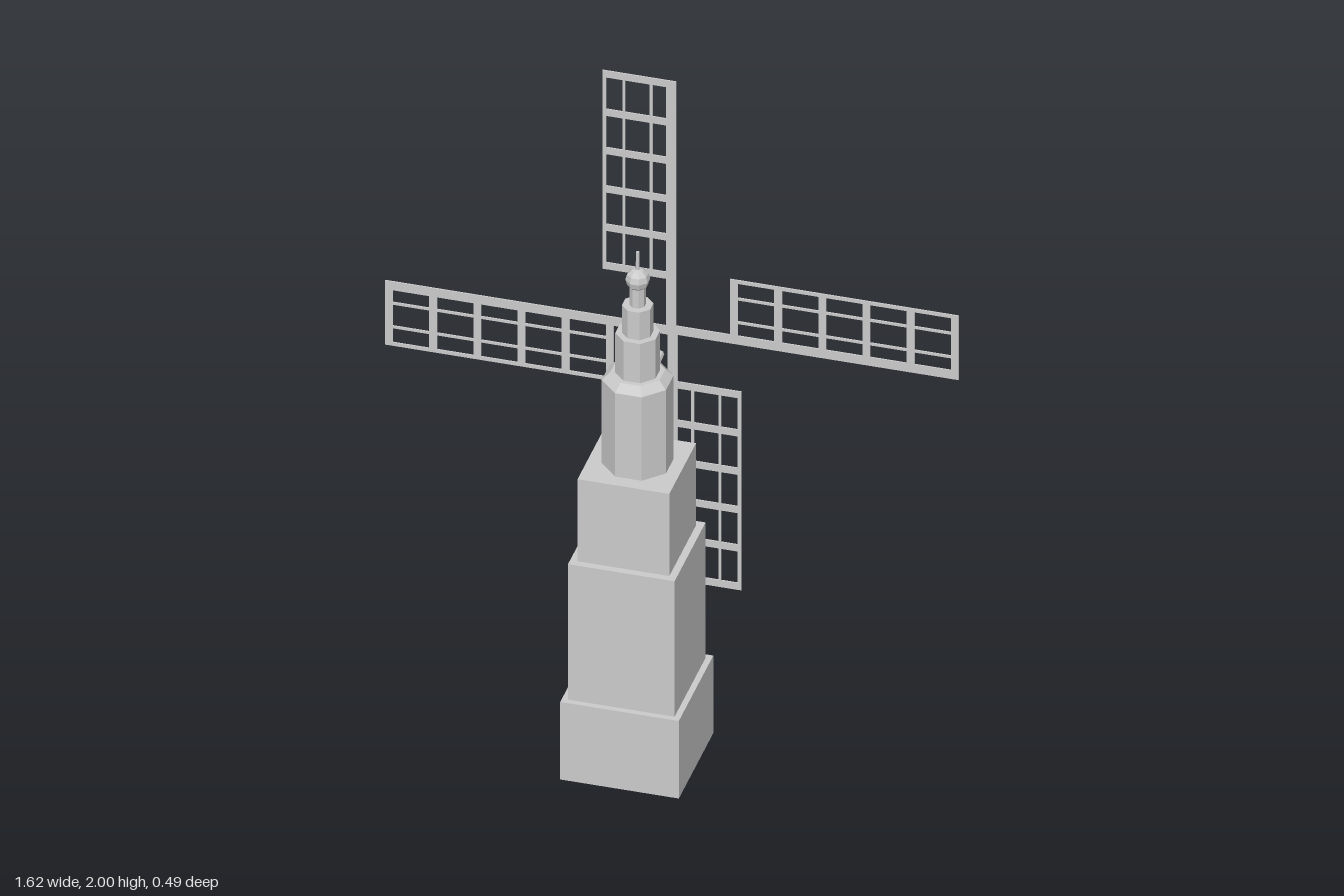
import * as THREE from 'three';

export function createModel() {
  const model = new THREE.Group();
  const mat = new THREE.MeshStandardMaterial({ color: 0xcccccc, flatShading: true });
  const CX = -0.006, CZ = 0.077;

  const add = (name, geometry, x, y, z, parent = model) => {
    const mesh = new THREE.Mesh(geometry, mat);
    mesh.name = name;
    mesh.position.set(x, y, z);
    parent.add(mesh);
    return mesh;
  };

  // Square stepped tower: half width, bottom, top
  const blocks = [
    ['towerBase', 0.168, 0, 0.253],
    ['towerMiddle', 0.151, 0.253, 0.695],
    ['towerUpper', 0.13, 0.695, 0.963],
  ];
  for (const [name, h, y0, y1] of blocks)
    add(name, new THREE.BoxGeometry(h * 2, y1 - y0, h * 2), CX, (y0 + y1) / 2, CZ);

  // Octagonal tiers with flats facing the axes: bottom and top apothem, bottom, top
  const toCorner = 1 / Math.cos(Math.PI / 8);
  const tiers = [
    ['octagonDrum', 0.091, 0.091, 0.963, 1.235],
    ['drumBevel', 0.091, 0.07, 1.235, 1.257],
    ['lanternLower', 0.057, 0.057, 1.257, 1.385],
    ['lanternMiddle', 0.04, 0.04, 1.385, 1.475],
    ['lanternUpper', 0.021, 0.021, 1.475, 1.535],
  ];
  for (const [name, a0, a1, y0, y1] of tiers) {
    const g = new THREE.CylinderGeometry(a1 * toCorner, a0 * toCorner, y1 - y0, 8);
    g.rotateY(Math.PI / 8);
    add(name, g, CX + 0.002, (y0 + y1) / 2, CZ - 0.002);
  }

  // Finial
  const ball = new THREE.SphereGeometry(0.034, 8, 6);
  ball.rotateY(Math.PI / 8);
  add('finialBall', ball, CX + 0.002, 1.557, CZ - 0.002);
  add('finialSpire', new THREE.CylinderGeometry(0.005, 0.006, 0.065, 8), CX + 0.002, 1.613, CZ - 0.002);

  // Tapered axle pointing out of the back
  const axle = new THREE.CylinderGeometry(0.011, 0.018, 0.15, 8);
  axle.rotateX(-Math.PI / 2);
  add('axle', axle, -0.003, 1.175, -0.068);

  // Four thin lattice sails around the hub
  const rect = (T, x0, y0, x1, y1) => {
    const s = new T();
    s.moveTo(x0, y0);
    s.lineTo(x1, y0);
    s.lineTo(x1, y1);
    s.lineTo(x0, y1);
    s.closePath();
    return s;
  };
  const R0 = 0.165, R1 = 0.8125;
  const lattice = rect(THREE.Shape, -0.197, R0, -0.015, R1);
  const columns = [[-0.186, -0.14], [-0.132, -0.063], [-0.055, -0.016]];
  const pitch = (R1 - R0 - 0.022) / 5;
  for (let row = 0; row < 5; row++) {
    const y = R0 + 0.022 + row * pitch;
    for (const [x0, x1] of columns)
      lattice.holes.push(rect(THREE.Path, x0, y, x1, y + pitch - 0.022));
  }
  const depth = 0.004;
  const latticeGeo = new THREE.ExtrudeGeometry(lattice, { depth, bevelEnabled: false });
  const sparGeo = new THREE.BoxGeometry(0.028, R1, depth);

  const sails = new THREE.Group();
  sails.name = 'sails';
  sails.position.set(0, 1.1875, -0.245);
  for (let i = 0; i < 4; i++) {
    const sail = new THREE.Group();
    sail.name = 'sail';
    add('sailLattice', latticeGeo, 0, 0, -depth / 2, sail);
    add('sailSpar', sparGeo, -0.002, R1 / 2, 0, sail);
    sail.rotation.z = i * Math.PI / 2;
    sails.add(sail);
  }
  model.add(sails);

  return model;
}
